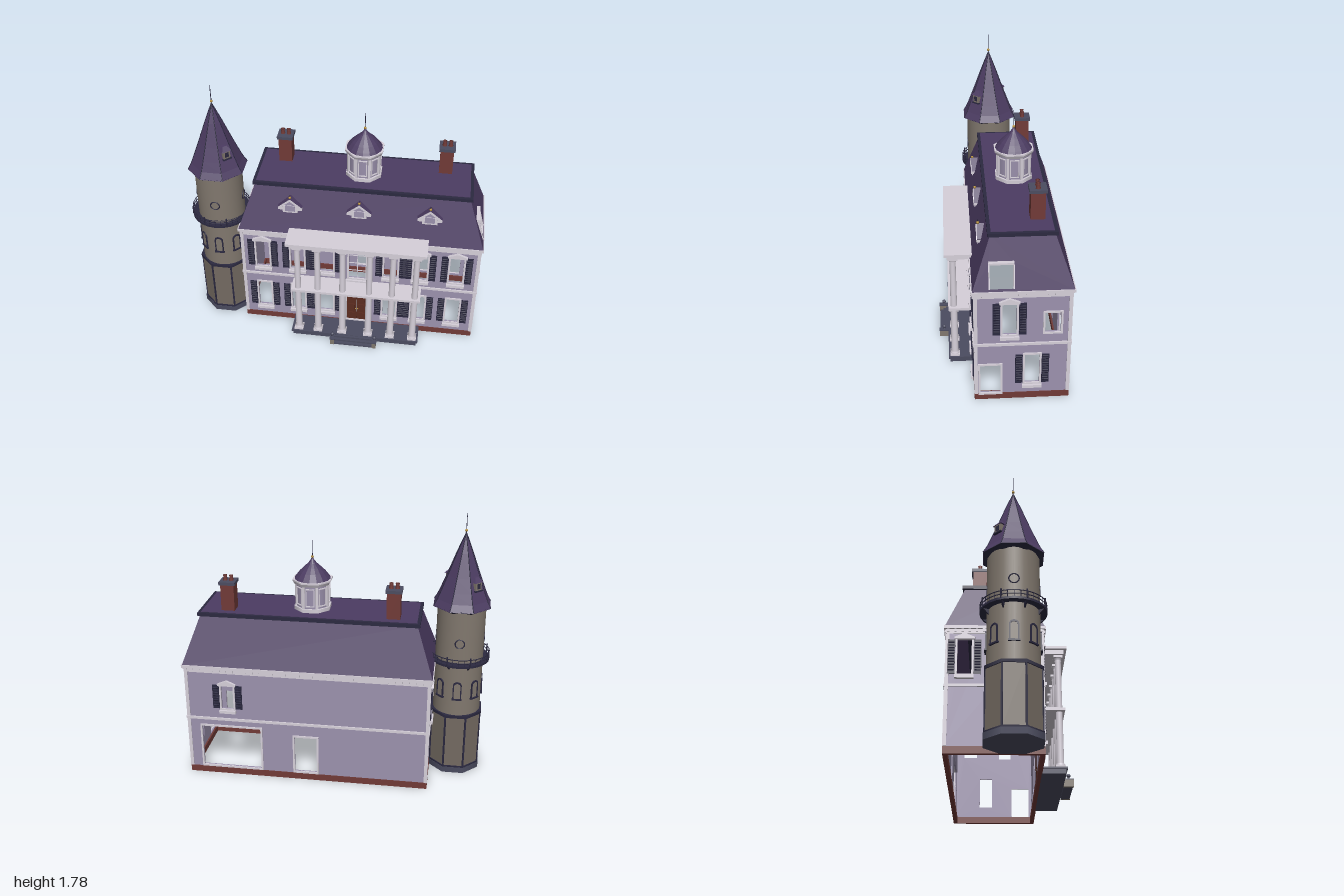
import * as THREE from 'three';

const paint = (color, flat = false) => new THREE.MeshStandardMaterial({ color, flatShading: flat, side: THREE.DoubleSide });
const M = {
  wall: paint(0x9c92ae), trim: paint(0xd6d0da), roof: paint(0x4c3c62, true), dark: paint(0x2b2940), stone: paint(0x81786e),
  stoneFlat: paint(0x736a61, true), brick: paint(0x713a37), door: paint(0x5c2c20), gold: paint(0xb08a35), slate: paint(0x4b4c60),
};
const OCT = Math.PI / 8;

function add(parent, name, geo, mat, x = 0, y = 0, z = 0) {
  const m = new THREE.Mesh(geo, mat);
  m.name = name;
  m.position.set(x, y, z);
  parent.add(m);
  return m;
}
// box given by centre x and z and by bottom and top heights
const box = (p, name, mat, x, y0, y1, z, w, d) => add(p, name, new THREE.BoxGeometry(w, y1 - y0, d), mat, x, (y0 + y1) / 2, z);
const cyl = (p, name, mat, x, y0, y1, z, r0, r1 = r0, n = 24) =>
  add(p, name, new THREE.CylinderGeometry(r1, r0, y1 - y0, n, 1, false, n === 8 ? OCT : 0), mat, x, (y0 + y1) / 2, z);
const lathe = (p, name, mat, pts, n = 24) =>
  add(p, name, new THREE.LatheGeometry(pts.map(a => new THREE.Vector2(...a)), n, n === 8 ? OCT : 0), mat);
const poly = pts => new THREE.Shape(pts.map(a => new THREE.Vector2(...a)));
const rect = (x0, x1, y0, y1) => poly([[x0, y0], [x1, y0], [x1, y1], [x0, y1]]);
const extrude = (shape, depth) => new THREE.ExtrudeGeometry(shape, { depth, bevelEnabled: false, curveSegments: 10 });
function group(parent, name, x = 0, y = 0, z = 0, rot = 0) {
  const g = new THREE.Group();
  g.name = name;
  g.position.set(x, y, z);
  g.rotation.y = rot;
  parent.add(g);
  return g;
}
function finial(p, x, y, z, top) {
  cyl(p, 'finialRod', M.dark, x, y - 0.03, top, z, 0.003, 0.002, 6);
  add(p, 'finialBall', new THREE.SphereGeometry(0.009, 12, 8), M.gold, x, y, z);
}

// rectangular frame around an opening; z is the wall face
function frame(g, u, y0, y1, w, z, t = 0.012) {
  const s = rect(u - w / 2 - t, u + w / 2 + t, y0 - t, y1 + t);
  s.holes.push(rect(u - w / 2, u + w / 2, y0, y1));
  add(g, 'openingFrame', extrude(s, 0.012), M.trim, 0, 0, z - 0.004);
}
function shutter(g, u, y0, y1, z) {
  box(g, 'shutter', M.dark, u, y0, y1, z + 0.003, 0.045, 0.006);
  for (let y = y0 + 0.02; y < y1 - 0.01; y += 0.018) {
    box(g, 'shutterSlat', M.dark, u, y, y + 0.008, z + 0.008, 0.036, 0.006).rotation.x = 0.4;
  }
}
function windowUnit(g, o, z) {
  const { u, y0, y1, w } = o;
  frame(g, u, y0, y1, w, z);
  if (o.plain) return;
  box(g, 'windowSill', M.trim, u, y0 - 0.03, y0 - 0.01, z + 0.01, w + 0.03, 0.024);
  for (const s of [-1, 1]) if (!o.grid) shutter(g, u + s * (w / 2 + 0.036), y0, y1, z);
  if (o.gable) {
    const h = w / 2 + 0.02;
    add(g, 'windowPediment', extrude(poly([[u - h, y1], [u + h, y1], [u + h, y1 + 0.012], [u, y1 + 0.038], [u - h, y1 + 0.012]]), 0.018), M.trim, 0, 0, z);
  }
  if (o.grid) {
    box(g, 'windowMullion', M.trim, u, y0, y1, z - 0.005, 0.005, 0.005);
    for (const f of [0.25, 0.5, 0.75]) box(g, 'windowBar', M.trim, u, y0 + f * (y1 - y0) - 0.002, y0 + f * (y1 - y0) + 0.002, z - 0.005, w, 0.005);
  }
}

// one side of the house: pierced wall, trim and sloping roof plane; outward is +z
function side(house, name, rot, half, dist, windows, roofHole) {
  const g = group(house, name, 0.175, 0, -0.1, rot);
  const s = rect(-half, half, 0.04, 0.785);
  for (const o of windows) s.holes.push(rect(o.u - o.w / 2, o.u + o.w / 2, o.y0, o.y1));
  add(g, 'wall', extrude(s, 0.012), M.wall, 0, 0, dist - 0.012);
  windows.forEach(o => windowUnit(g, o, dist));
  box(g, 'foundation', M.brick, 0, 0, 0.045, dist - 0.01, half * 2, 0.026);
  box(g, 'floorBand', M.trim, 0, 0.41, 0.427, dist + 0.003, half * 2 + 0.012, 0.012);
  box(g, 'frieze', M.trim, 0, 0.755, 0.785, dist + 0.002, half * 2 + 0.008, 0.008);
  box(g, 'eaveCornice', M.trim, 0, 0.785, 0.805, dist + 0.002, half * 2 + 0.032, 0.03);
  for (const e of [-1, 1]) box(g, 'cornerTrim', M.trim, e * (half - 0.008), 0.045, 0.785, dist + 0.002, 0.02, 0.006);
  const n = Math.round(half * 2 / 0.045);
  for (let i = 0; i <= n; i++) box(g, 'eaveBracket', M.trim, -half + 0.01 + i * (half * 2 - 0.02) / n, 0.768, 0.786, dist + 0.007, 0.014, 0.012);

  const b = half + 0.0125, t = b - 0.115;
  const r = poly([[-b, 0.8], [b, 0.8], [t, 1.125], [-t, 1.125]]);
  if (roofHole) r.holes.push(rect(...roofHole));
  const geo = new THREE.ShapeGeometry(r), p = geo.attributes.position;
  for (let i = 0; i < p.count; i++) p.setZ(i, dist + 0.0125 - (p.getY(i) - 0.8) / 0.325 * 0.115);
  geo.computeVertexNormals();
  add(g, 'mansardRoof', geo, M.roof);
  return g;
}

function buildHouse(root) {
  const house = group(root, 'house');
  const up = { y0: 0.49, y1: 0.715, w: 0.09, gable: true }, low = { y0: 0.12, y1: 0.335, w: 0.09 };
  const cols = [-0.66, -0.42, -0.22, 0.22, 0.42, 0.66];
  const front = side(house, 'frontSide', 0, 0.805, 0.29, [
    ...cols.flatMap(u => [{ u, ...up }, { u, ...low }]),
    { u: -0.007, y0: 0.45, y1: 0.715, w: 0.115, gable: true, grid: true },
    { u: -0.007, y0: 0.055, y1: 0.29, w: 0.14, plain: true }]);
  const right = side(house, 'rightSide', Math.PI / 2, 0.29, 0.805, [
    { u: -0.08, ...up, w: 0.085 }, { u: 0.06, ...low, w: 0.09 },
    { u: 0.18, y0: 0.5, y1: 0.64, w: 0.095, plain: true }, { u: -0.195, y0: 0.05, y1: 0.262, w: 0.125, plain: true }],
  [-0.2, -0.055, 0.82, 0.97]);
  side(house, 'backSide', Math.PI, 0.805, 0.29, [
    { u: -0.525, y0: 0.5, y1: 0.67, w: 0.08, gable: true },
    { u: -0.51, y0: 0.06, y1: 0.36, w: 0.4, plain: true }, { u: -0.005, y0: 0.06, y1: 0.32, w: 0.15, plain: true }]);
  side(house, 'leftSide', -Math.PI / 2, 0.29, 0.805, [{ u: -0.18, ...up, w: 0.085 }]);

  // open dormer in the right roof slope
  box(right, 'sideDormerLintel', M.trim, -0.1275, 0.964, 0.976, 0.765, 0.15, 0.03);
  for (const u of [-0.2, -0.055]) {
    add(right, 'sideDormerJamb', extrude(poly([[-0.815, 0.82], [-0.76, 0.82], [-0.75, 0.97], [-0.775, 0.97]]), 0.008), M.trim, u - 0.004, 0, 0).rotation.y = Math.PI / 2;
  }

  // double front door
  for (const s of [-1, 1]) {
    box(front, 'doorLeaf', M.door, -0.007 + s * 0.035, 0.045, 0.29, 0.284, 0.067, 0.012);
    for (const y of [0.065, 0.145, 0.225]) box(front, 'doorPanel', M.door, -0.007 + s * 0.035, y, y + 0.055, 0.292, 0.044, 0.008);
    add(front, 'doorKnob', new THREE.SphereGeometry(0.005, 8, 6), M.gold, -0.007 + s * 0.008, 0.16, 0.295);
  }
  box(front, 'doorLintel', M.trim, -0.007, 0.295, 0.33, 0.3, 0.18, 0.024);

  // flat top of the roof with its dark rim
  box(house, 'roofRim', M.dark, 0.175, 1.115, 1.138, -0.1, 1.44, 0.41);
  box(house, 'roofDeck', M.roof, 0.175, 1.136, 1.141, -0.1, 1.4, 0.37);

  // front dormers
  for (const x of [-0.29, 0.168, 0.63]) {
    const d = group(house, 'dormer', x, 0, 0.09);
    box(d, 'dormerBody', M.trim, 0, 0.945, 1.0, 0.032, 0.1, 0.064);
    box(d, 'dormerPane', M.wall, 0, 0.957, 1.0, 0.065, 0.065, 0.004);
    add(d, 'dormerGable', extrude(poly([[-0.06, 0.992], [0.06, 0.992], [0, 1.04]]), 0.06), M.wall);
    for (const s of [-1, 1]) {
      add(d, 'dormerRake', extrude(poly([[0, 1.04], [0, 1.056], [s * 0.08, 0.99], [s * 0.08, 0.972], [s * 0.05, 0.972], [s * 0.05, 1.0]]), 0.072), M.trim);
      const slope = box(d, 'dormerRoof', M.roof, s * 0.04, 1.022, 1.027, 0.03, 0.104, 0.076);
      slope.rotation.z = -s * Math.atan2(0.066, 0.08);
    }
    finial(d, 0, 1.065, 0.06, 1.085);
  }

  // chimneys
  for (const x of [-0.37, 0.705]) {
    const c = group(house, 'chimney', x, 0, -0.2);
    box(c, 'chimneyStack', M.brick, 0, 1.12, 1.32, 0, 0.088, 0.088);
    box(c, 'chimneyCap', M.slate, 0, 1.315, 1.335, 0, 0.106, 0.106);
    for (const s of [-1, 1]) lathe(c, 'chimneyPot', M.brick, [[0.016, 1.33], [0.011, 1.36], [0.014, 1.37], [0.009, 1.37], [0.009, 1.34]], 12).position.x = s * 0.02;
  }
}

function buildPortico(root) {
  const p = group(root, 'portico');
  box(p, 'porticoFloor', M.slate, 0.17, 0.028, 0.042, 0.268, 0.89, 0.16);
  box(p, 'porticoBase', M.slate, 0.17, 0, 0.03, 0.265, 0.87, 0.15);
  box(p, 'balconySlab', M.trim, 0.17, 0.41, 0.428, 0.265, 0.88, 0.155);
  box(p, 'entablature', M.trim, 0.17, 0.795, 0.823, 0.265, 0.88, 0.155);
  box(p, 'porticoRoof', M.trim, 0.17, 0.823, 0.842, 0.273, 0.93, 0.175);
  for (const x of [-0.225, -0.09, 0.08, 0.262, 0.417, 0.572]) {
    const c = group(p, 'column', x, 0, 0.307);
    box(c, 'columnPlinth', M.trim, 0, 0.04, 0.055, 0, 0.062, 0.062);
    lathe(c, 'columnShaft', M.trim, [[0.03, 0.055], [0.03, 0.065], [0.023, 0.075], [0.022, 0.3], [0.019, 0.755], [0.023, 0.762], [0.019, 0.768], [0.027, 0.782]], 20);
    box(c, 'columnCapital', M.trim, 0, 0.78, 0.797, 0, 0.06, 0.06);
  }
  // steps between two low pedestals
  for (let i = 0; i < 3; i++) box(p, 'step', M.slate, 0.168, 0, 0.013 * (i + 1), 0.373 - i * 0.01, 0.28, 0.06 - i * 0.02);
  for (const s of [-1, 1]) {
    box(p, 'stepWall', M.stone, 0.168 + s * 0.147, 0, 0.045, 0.376, 0.028, 0.064);
    box(p, 'stepWallCap', M.slate, 0.168 + s * 0.147, 0.045, 0.052, 0.376, 0.034, 0.068);
    cyl(p, 'ornamentStem', M.slate, 0.168 + s * 0.147, 0.05, 0.064, 0.376, 0.01, 0.005, 10);
    add(p, 'ornamentBall', new THREE.SphereGeometry(0.013, 14, 10), M.slate, 0.168 + s * 0.147, 0.073, 0.376);
  }
}

function buildCupola(root) {
  const c = group(root, 'cupola', 0.17, 0, -0.1);
  cyl(c, 'cupolaBase', M.trim, 0, 1.135, 1.165, 0, 0.125, 0.125, 8);
  cyl(c, 'cupolaBody', M.wall, 0, 1.165, 1.32, 0, 0.112, 0.112, 8);
  cyl(c, 'cupolaCornice', M.trim, 0, 1.315, 1.335, 0, 0.122, 0.132, 8);
  cyl(c, 'cupolaCorniceTop', M.trim, 0, 1.335, 1.345, 0, 0.134, 0.134, 8);
  for (let i = 0; i < 8; i++) {
    const g = group(c, 'cupolaPanel', 0, 0, 0, i * OCT * 2);
    frame(g, 0, 1.185, 1.295, 0.046, 0.102, 0.006);
    const post = group(c, 'cupolaPost', 0, 0, 0, (i + 0.5) * OCT * 2);
    box(post, 'cupolaPostShaft', M.trim, 0, 1.165, 1.32, 0.11, 0.018, 0.012);
  }
  lathe(c, 'cupolaDome', M.roof, [[0.118, 1.345], [0.108, 1.36], [0.085, 1.39], [0.055, 1.42], [0.028, 1.445], [0.01, 1.47], [0.001, 1.49]], 16);
  finial(c, 0, 1.487, 0, 1.595);
}

function buildTower(root) {
  const t = group(root, 'tower', -0.797, 0, 0.008);
  cyl(t, 'towerBase', M.slate, 0, 0, 0.04, 0, 0.184, 0.184, 8);
  cyl(t, 'towerBaseTrim', M.dark, 0, 0.04, 0.05, 0, 0.182, 0.182, 8);
  cyl(t, 'towerLowerStage', M.stoneFlat, 0, 0.04, 0.43, 0, 0.175, 0.175, 8);
  cyl(t, 'towerBand', M.dark, 0, 0.418, 0.438, 0, 0.182, 0.182, 8);
  cyl(t, 'towerShaft', M.stone, 0, 0.43, 1.18, 0, 0.158, 0.158, 32);
  cyl(t, 'towerTopTrim', M.dark, 0, 1.16, 1.182, 0, 0.16, 0.19, 8);
  const arch = (w, h) => {
    const s = new THREE.Shape();
    s.moveTo(-w, 0); s.lineTo(w, 0); s.lineTo(w, h); s.absarc(0, h, w, 0, Math.PI); s.closePath();
    return s;
  };
  for (let i = 0; i < 8; i++) {
    const a = group(t, 'towerFacet', 0, 0, 0, i * OCT * 2);
    const s = arch(0.029, 0.095);
    const hole = new THREE.Path(arch(0.021, 0.092).getPoints(8));
    s.holes.push(hole);
    add(a, 'archFrame', extrude(s, 0.014), M.dark, 0, 0.56, 0.15);
    add(a, 'archPane', extrude(arch(0.021, 0.092), 0.008), M.stone, 0, 0.56, 0.152);
    box(a, 'archSill', M.dark, 0, 0.552, 0.562, 0.16, 0.068, 0.016);
    if (i % 2 === 0) add(a, 'roundWindow', new THREE.TorusGeometry(0.03, 0.004, 6, 24), M.dark, 0, 0.955, 0.157);
    const e = group(t, 'towerEdge', 0, 0, 0, (i + 0.5) * OCT * 2);
    box(e, 'edgeStrip', M.dark, 0, 0.04, 0.43, 0.174, 0.012, 0.008);
    add(e, 'balconyBracket', extrude(poly([[-0.15, 0.76], [-0.15, 0.802], [-0.195, 0.802]]), 0.01), M.dark, -0.005, 0, 0).rotation.y = Math.PI / 2;
  }
  // railed balcony
  cyl(t, 'balconyFloor', M.dark, 0, 0.8, 0.815, 0, 0.2, 0.2, 24);
  for (const y of [0.835, 0.857]) add(t, 'balconyRail', new THREE.TorusGeometry(0.197, 0.003, 6, 32), M.dark, 0, y, 0).rotation.x = Math.PI / 2;
  for (let i = 0; i < 32; i++) {
    const a = i * Math.PI / 16, tall = i % 4 === 2;
    cyl(t, 'balconyBaluster', M.dark, Math.sin(a) * 0.197, 0.81, tall ? 0.87 : 0.857, Math.cos(a) * 0.197, tall ? 0.005 : 0.002, tall ? 0.005 : 0.002, 6);
  }
  // flared eight-sided spire with ridge strips
  const spire = [[0.198, 1.18], [0.172, 1.225], [0.145, 1.29], [0.109, 1.38], [0.052, 1.53], [0.001, 1.655]];
  lathe(t, 'spireRoof', M.roof, spire, 8);
  for (let i = 0; i < 8; i++) {
    const a = OCT + i * OCT * 2;
    const path = new THREE.CatmullRomCurve3(spire.map(([r, y]) => new THREE.Vector3(Math.sin(a) * r, y, Math.cos(a) * r)));
    add(t, 'spireRidge', new THREE.TubeGeometry(path, 12, 0.003, 5), M.dark);
  }
  cyl(t, 'spireUnderside', M.dark, 0, 1.178, 1.184, 0, 0.196, 0.196, 8);
  finial(t, 0, 1.67, 0, 1.78);
  for (const a of [Math.PI / 4, Math.PI * 5 / 4]) {
    const d = group(t, 'spireDormer', 0, 0, 0, a);
    box(d, 'spireDormerBody', M.stone, 0, 1.305, 1.362, 0.105, 0.05, 0.065);
    box(d, 'spireDormerPane', M.dark, 0, 1.318, 1.352, 0.138, 0.026, 0.004);
    box(d, 'spireDormerSill', M.dark, 0, 1.3, 1.308, 0.11, 0.062, 0.07);
    const top = add(d, 'spireDormerRoof', new THREE.CylinderGeometry(0.02, 0.05, 0.03, 4, 1, false, Math.PI / 4), M.roof, 0, 1.375, 0.1);
    top.scale.z = 1.2;
  }
}

export function createModel() {
  const root = new THREE.Group();
  root.name = 'mansion';
  buildHouse(root);
  buildPortico(root);
  buildCupola(root);
  buildTower(root);
  return root;
}
